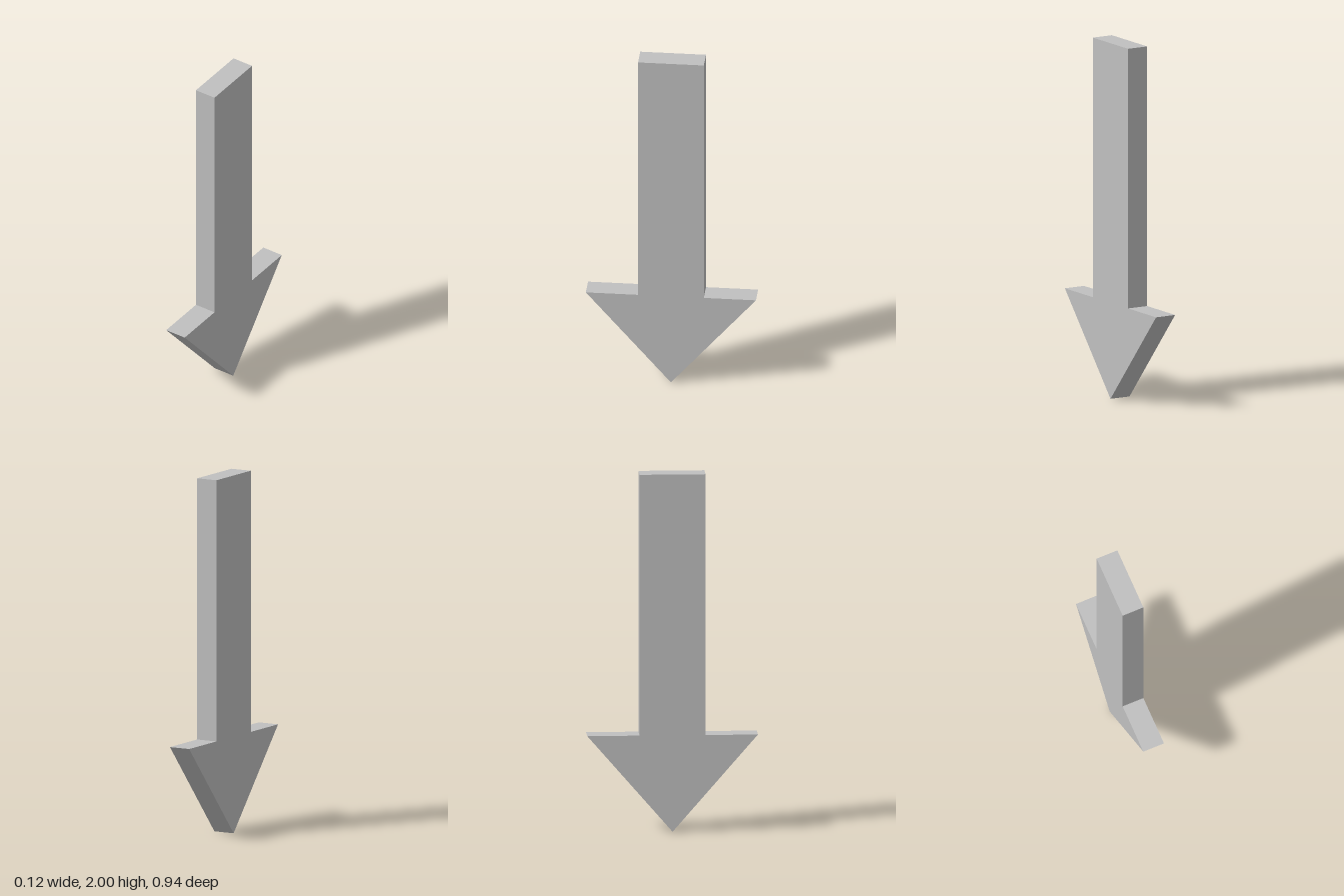
import * as THREE from 'three';

export function createModel() {
  const grey = new THREE.MeshStandardMaterial({ color: 0xc0c0c0 });
  grey.name = 'lightGrey';

  const thickness = 0.124, shaftHalf = 0.182, headHalf = 0.471, headTop = 0.54, height = 2;

  // Half outline of the arrow from the tip up, mirrored to the other side
  const half = [[headHalf, headTop], [shaftHalf, headTop], [shaftHalf, height]];
  const outline = [[0, 0], ...half, ...half.map(([z, y]) => [-z, y]).reverse()];
  const shape = new THREE.Shape(outline.map(([z, y]) => new THREE.Vector2(z, y)));

  // Flat slab, turned so its broad faces look along x
  const geometry = new THREE.ExtrudeGeometry(shape, { depth: thickness, bevelEnabled: false });
  geometry.translate(0, 0, -thickness / 2);
  geometry.rotateY(-Math.PI / 2);

  const arrow = new THREE.Mesh(geometry, grey);
  arrow.name = 'downArrow';

  const group = new THREE.Group();
  group.name = 'arrowMarker';
  group.add(arrow);
  return group;
}
